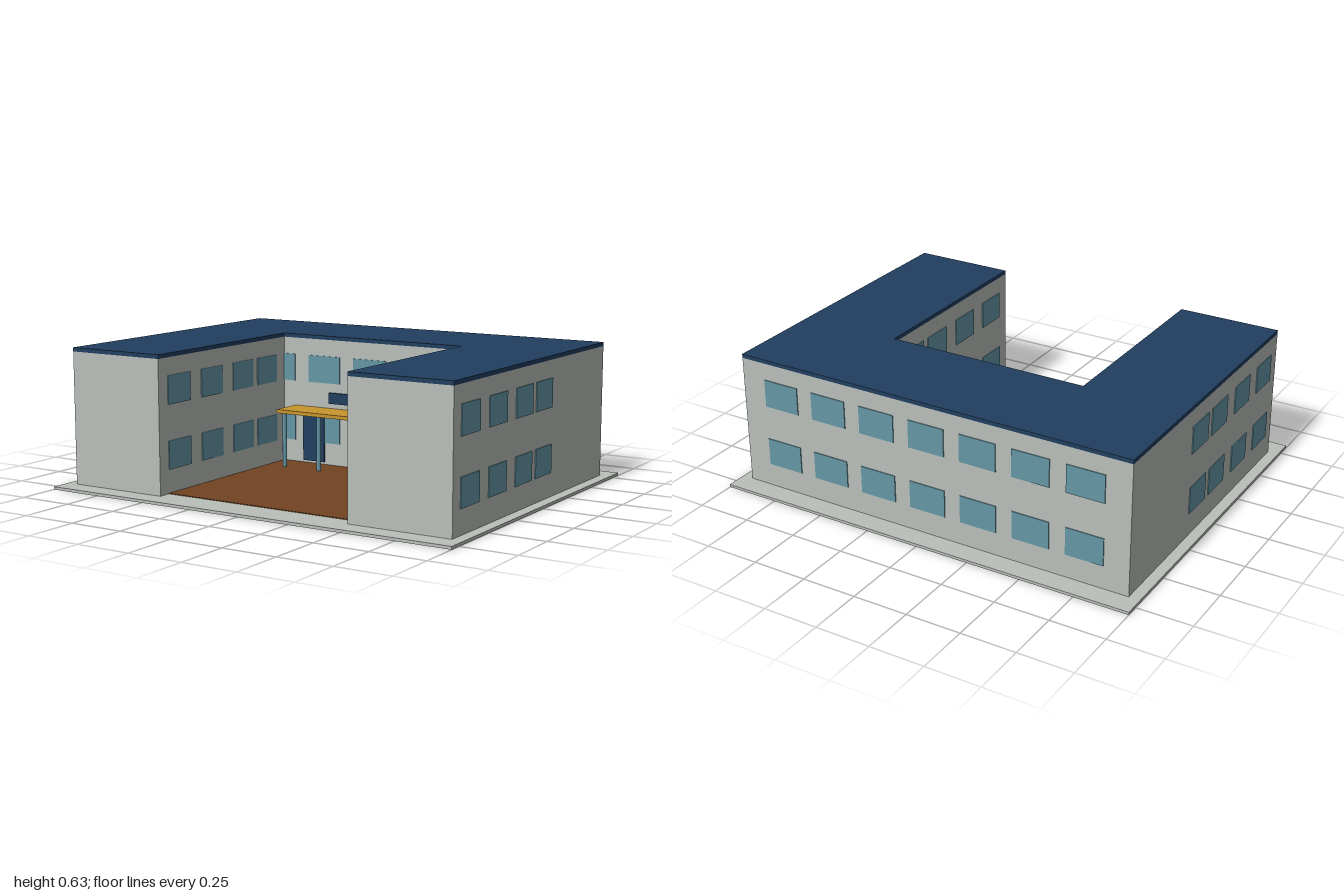
import * as THREE from 'three';

const material = (name, color) => {
  const m = new THREE.MeshStandardMaterial({ color });
  m.name = name;
  return m;
};

export function createModel() {
  const model = new THREE.Group();
  model.name = 'courtyardBuilding';
  const concrete = material('pale grey concrete', 0xbabfba);
  const navy = material('navy blue', 0x213f60);
  const glass = material('blue glass', 0x6497a5);
  const gold = material('golden yellow', 0xc8952c);
  const brown = material('brown paving', 0x724422);

  // Box given by its lower and upper corners
  const box = (name, mat, [x0, y0, z0], [x1, y1, z1], parent = model) => {
    const mesh = new THREE.Mesh(new THREE.BoxGeometry(x1 - x0, y1 - y0, z1 - z0), mat);
    mesh.position.set((x0 + x1) / 2, (y0 + y1) / 2, (z0 + z1) / 2);
    mesh.name = name;
    parent.add(mesh);
    return mesh;
  };

  const W = 0.95, D = 0.713, inner = 0.475, court = -0.24;

  // U-shaped plan, extruded upwards
  const plan = new THREE.Shape([
    [-W, -D], [-inner, -D], [-inner, -court], [inner, -court],
    [inner, -D], [W, -D], [W, D], [-W, D],
  ].map(([x, y]) => new THREE.Vector2(x, y)));
  const slab = (name, mat, y0, y1) => {
    const geo = new THREE.ExtrudeGeometry(plan, { depth: y1 - y0, bevelEnabled: false });
    geo.rotateX(-Math.PI / 2);
    const mesh = new THREE.Mesh(geo, mat);
    mesh.position.y = y0;
    mesh.name = name;
    model.add(mesh);
  };

  // Ground, walls and roof
  box('basePlinth', concrete, [-1, 0, -0.81], [1, 0.013, 0.81]);
  box('courtyardPaving', brown, [-inner, 0.013, court], [inner, 0.016, 0.655]);
  slab('walls', concrete, 0.013, 0.61);
  slab('roof', navy, 0.61, 0.628);

  // Windows in two storeys
  const windows = new THREE.Group();
  windows.name = 'windows';
  model.add(windows);
  const t = 0.004;
  for (const [y0, y1] of [[0.12, 0.246], [0.405, 0.532]]) {
    // Outer and courtyard faces of both wings
    for (const z of [0.573, 0.336, 0.098, -0.093]) {
      for (const x of [-W, -inner, inner, W]) {
        const out = Math.abs(x) === W ? Math.sign(x) : -Math.sign(x);
        const x0 = Math.min(x, x + out * t);
        box('wingWindow', glass, [x0, y0, z - 0.078], [x0 + t, y1, z + 0.078], windows);
      }
    }
    // Back wall and the courtyard's rear wall
    for (let i = -3; i <= 3; i++) {
      const x = i * 0.249;
      box('backWindow', glass, [x - 0.087, y0, -D - t], [x + 0.087, y1, -D], windows);
      if (Math.abs(i) > 2) continue;
      const a = Math.max(x - 0.087, -inner), b = Math.min(x + 0.087, inner);
      box('courtyardWindow', glass, [a, y0, court], [b, y1, court + t], windows);
    }
  }

  // Entrance doors
  for (const x of [-0.305, 0.305]) {
    box('door', navy, [x - 0.059, 0.027, court], [x + 0.059, 0.246, court + 0.008]);
  }

  // Blank panel above the entrance canopy
  box('entrancePanel', navy, [-0.218, 0.311, court], [0.218, 0.362, court + 0.012]);

  // Canopy on five posts
  box('canopy', gold, [-0.413, 0.27, court], [0.413, 0.287, -0.083]);
  for (let i = -2; i <= 2; i++) {
    const post = new THREE.Mesh(new THREE.CylinderGeometry(0.01, 0.01, 0.257, 12), glass);
    post.position.set(i * 0.19, 0.1415, -0.1);
    post.name = 'canopyPost';
    model.add(post);
  }
  return model;
}
